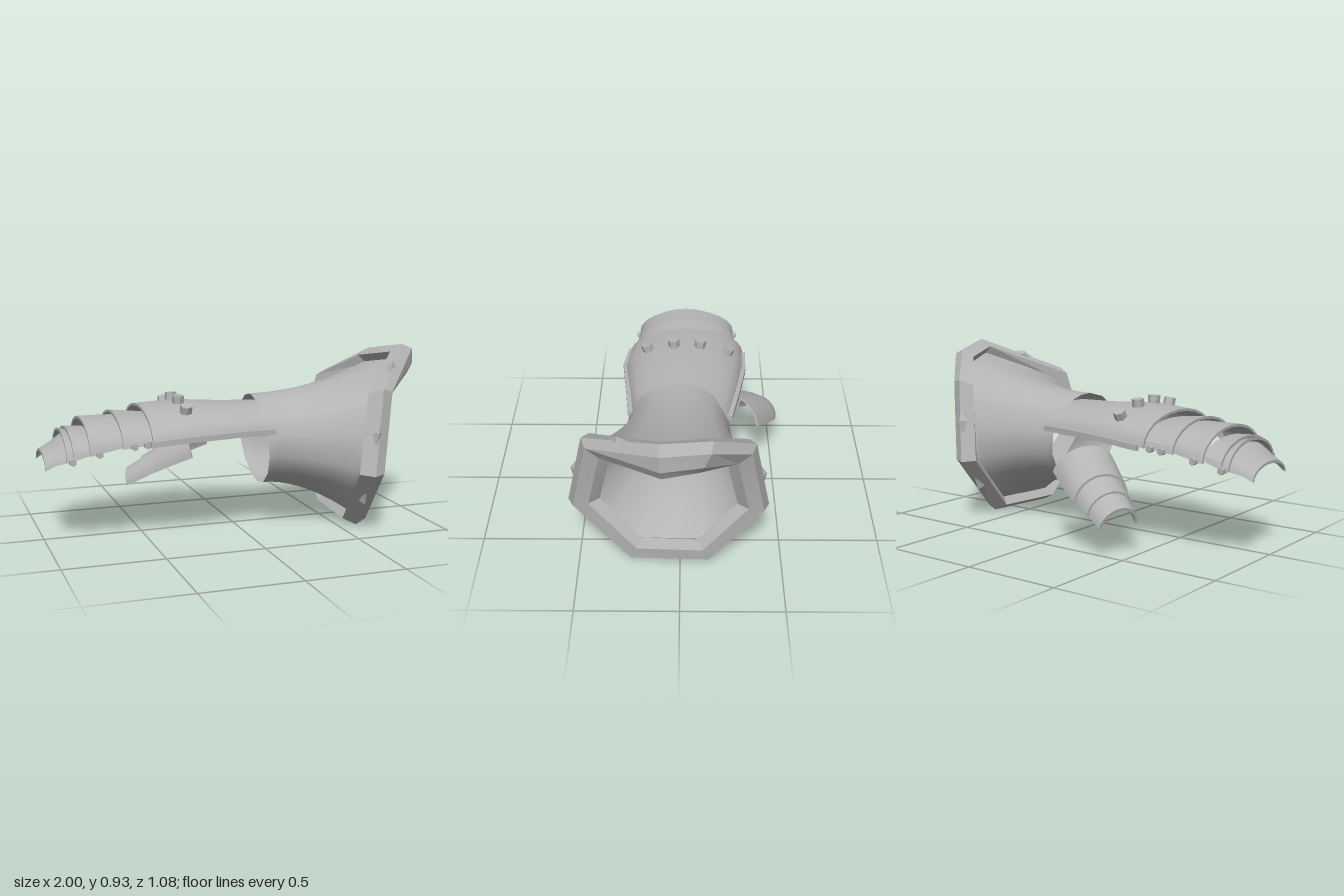
import * as THREE from 'three';
import { toCreasedNormals } from 'three/addons/utils/BufferGeometryUtils.js';

const V = (x, y, z) => new THREE.Vector3(x, y, z);

// Joins a list of cross-section loops (arrays of Vector3) into one skin.
function loft(loops, { caps = false, ring = false } = {}) {
  const n = loops[0].length, pos = [], idx = [];
  loops.forEach(l => l.forEach(p => pos.push(p.x, p.y, p.z)));
  const rows = ring ? loops.length : loops.length - 1;
  for (let i = 0; i < rows; i++) {
    const r0 = i * n, r1 = ((i + 1) % loops.length) * n;
    for (let j = 0; j < n; j++) {
      const k = (j + 1) % n;
      idx.push(r0 + j, r1 + j, r1 + k, r0 + j, r1 + k, r0 + k);
    }
  }
  if (caps) {
    const last = (loops.length - 1) * n;
    for (let j = 0; j < n / 2 - 1; j++) {
      const a = j, b = j + 1, c = n - 2 - j, d = n - 1 - j;
      idx.push(a, b, c, a, c, d);
      idx.push(last + a, last + c, last + b, last + a, last + d, last + c);
    }
  }
  const g = new THREE.BufferGeometry();
  g.setAttribute('position', new THREE.Float32BufferAttribute(pos, 3));
  g.setIndex(idx);
  g.computeVertexNormals();
  return g;
}

// Thin half-elliptical section through edge a, crest m and edge b.
function archSection([a, m, b], thickness = 0.013, seg = 12) {
  const c = a.clone().add(b).multiplyScalar(0.5);
  const u = a.clone().sub(c), w = m.clone().sub(c);
  const arc = t => Array.from({ length: seg + 1 }, (_, i) => {
    const th = Math.PI * i / seg;
    return c.clone()
      .addScaledVector(u, Math.cos(th) * (1 - t / u.length()))
      .addScaledVector(w, Math.sin(th) * (1 - t / w.length()));
  });
  return [...arc(0), ...arc(thickness).reverse()];
}
const archPlate = sections => toCreasedNormals(loft(sections.map(s => archSection(s)), { caps: true }), 0.6);

// Arch section standing across the hand: x, front z, back z, edge y, crest y.
const across = ([x, zf, zb, yb, yt]) => [V(x, yb, zf), V(x, yt, (zf + zb) / 2), V(x, yb, zb)];

export function createModel() {
  const group = new THREE.Group();
  group.name = 'armouredGlove';
  const steel = new THREE.MeshStandardMaterial({ color: 0xb4b4b4, side: THREE.DoubleSide });
  steel.name = 'greySteel';
  const add = (name, geo) => {
    const m = new THREE.Mesh(geo, steel);
    m.name = name;
    group.add(m);
    return m;
  };

  // Eight-sided rim: outermost corner of each spoke
  const corners = [
    V(0.93, 0.93, 0.09), V(0.85, 0.888, -0.15), V(0.68, 0.75, -0.35), V(0.6, 0.327, -0.43),
    V(0.62, 0.013, -0.154), V(0.6, 0.004, 0.256), V(0.565, 0.327, 0.544), V(0.64, 0.75, 0.456)];
  const centre = V(0, 0.44, 0.055);
  const spoke = (c, s, dx) => V(c.x + dx, centre.y + (c.y - centre.y) * s, centre.z + (c.z - centre.z) * s);
  const rimProfile = [[0.92, -0.07], [1, 0], [0.945, 0.06], [0.79, 0.068], [0.68, 0.04], [0.82, -0.03]];
  add('rim', toCreasedNormals(
    loft(corners.map(c => rimProfile.map(([s, dx]) => spoke(c, s, dx))), { ring: true }), 0.25));

  // Flared cuff: round at the wrist, eight-sided at the rim
  const outline = [];
  corners.forEach((c, i) => {
    const next = corners[(i + 1) % 8];
    for (const t of [0, 0.5]) outline.push(spoke(c.clone().lerp(next, t), 0.86, -0.015));
  });
  const cuffLoops = [];
  for (let i = 0; i <= 10; i++) {
    const s = i / 10, f = Math.pow(s, 1.9);
    cuffLoops.push(outline.map(e => {
      const a = Math.atan2(e.y - centre.y, e.z - centre.z);
      const y = 0.453 + 0.235 * Math.sin(a), z = 0.01 + 0.26 * Math.cos(a);
      const x0 = 0.115 - 0.02 * Math.sin(a) - 0.012 * Math.cos(a);
      return V(x0 + (e.x - x0) * s, y + (e.y - y) * f, z + (e.z - z) * f);
    }));
  }
  add('cuff', loft(cuffLoops));

  // Diamond studs on the rim sides
  [2, 3, 5, 6, 7].forEach(i => {
    const a = spoke(corners[i], 0.975, -0.01), b = spoke(corners[(i + 1) % 8], 0.975, -0.01);
    const along = b.clone().sub(a).normalize();
    const mid = a.add(b).multiplyScalar(0.5);
    const out = V(0, mid.y - centre.y, mid.z - centre.z);
    out.addScaledVector(along, -out.dot(along)).normalize();
    const stud = add('rimStud', toCreasedNormals(new THREE.OctahedronGeometry(1), 0.1));
    stud.scale.set(0.085, 0.03, 0.025);
    stud.quaternion.setFromRotationMatrix(
      new THREE.Matrix4().makeBasis(along, out, along.clone().cross(out)));
    stud.position.copy(mid);
  });

  // Back-of-hand plate
  add('handPlate', archPlate([
    [-0.5, 0.28, -0.34, 0.51, 0.66], [-0.3, 0.3, -0.33, 0.53, 0.672],
    [-0.05, 0.27, -0.29, 0.53, 0.655], [0.16, 0.245, -0.245, 0.52, 0.65]].map(across)));

  // Trim strips along both edges of the hand plate
  const trims = {
    frontTrim: [V(-0.51, 0.51, 0.28), V(-0.32, 0.527, 0.303), V(-0.05, 0.532, 0.275), V(0.14, 0.53, 0.257)],
    backTrim: [V(-0.47, 0.51, -0.342), V(-0.28, 0.527, -0.335), V(-0.05, 0.532, -0.295), V(0.17, 0.53, -0.25)],
  };
  for (const [name, path] of Object.entries(trims)) {
    const loops = path.map(p => [[-1, -1], [1, -1], [1, 1], [-1, 1]].map(
      ([y, z]) => V(p.x, p.y + y * 0.014, p.z + z * 0.012)));
    add(name, toCreasedNormals(loft(loops, { caps: true }), 0.4));
  }

  // Hexagonal bolts across the knuckles
  [-0.25, -0.1, 0.04, 0.18].forEach(z => {
    const u = (z + 0.015) / 0.315, h = Math.sqrt(1 - u * u);
    const bolt = add('knuckleBolt', toCreasedNormals(new THREE.CylinderGeometry(0.031, 0.031, 0.05, 6), 0.4));
    bolt.position.set(-0.305, 0.53 + 0.142 * h + 0.012, z);
    bolt.quaternion.setFromUnitVectors(V(0, 1, 0), V(0, h / 0.142, u / 0.315).normalize());
  });

  // Overlapping finger plates
  [
    [[-0.46, 0.265, -0.31, 0.51, 0.615], [-0.64, 0.25, -0.305, 0.49, 0.635]],
    [[-0.61, 0.235, -0.29, 0.5, 0.61], [-0.8, 0.245, -0.3, 0.465, 0.612]],
    [[-0.78, 0.225, -0.265, 0.47, 0.56], [-0.875, 0.215, -0.26, 0.44, 0.568]],
    [[-0.85, 0.205, -0.25, 0.45, 0.545], [-0.905, 0.2, -0.245, 0.43, 0.56]],
    [[-0.88, 0.18, -0.225, 0.43, 0.535], [-0.95, 0.155, -0.2, 0.412, 0.485], [-1, 0.14, -0.185, 0.385, 0.46]],
  ].forEach(p => add('fingerPlate', archPlate(p.map(across))));

  // Hinge pins joining the plates on both sides
  [[-0.525, 0.507, 0.262, -0.315], [-0.585, 0.5, 0.25, -0.307],
    [-0.755, 0.472, 0.242, -0.298], [-0.88, 0.436, 0.21, -0.255]].forEach(([x, y, zf, zb]) => {
    for (const z of [zf, zb]) {
      const pin = add('hingePin', toCreasedNormals(new THREE.CylinderGeometry(0.018, 0.018, 0.035, 6), 0.4));
      pin.rotation.x = Math.PI / 2;
      pin.position.set(x, y, z);
    }
  });

  // Thumb: three overlapping arched plates, inner edge / crest / outer edge
  const thumbPaths = [
    [V(-0.18, 0.335, -0.14), V(-0.34, 0.25, -0.25), V(-0.49, 0.155, -0.355)],
    [V(-0.14, 0.475, -0.27), V(-0.29, 0.375, -0.38), V(-0.465, 0.245, -0.455)],
    [V(-0.01, 0.35, -0.41), V(-0.215, 0.25, -0.51), V(-0.39, 0.145, -0.545)],
  ].map(p => new THREE.CatmullRomCurve3(p));
  [[0, 0.54, 1], [0.5, 0.78, 0.95], [0.74, 1, 0.9]].forEach(([t0, t1, size]) => {
    const sections = [0, 0.5, 1].map(k => {
      const s = thumbPaths.map(c => c.getPoint(t0 + (t1 - t0) * k));
      const c = s[0].clone().add(s[2]).multiplyScalar(0.5);
      return s.map(p => p.sub(c).multiplyScalar(size + 0.04 * k).add(c));
    });
    add('thumbPlate', archPlate(sections));
  });

  return group;
}
